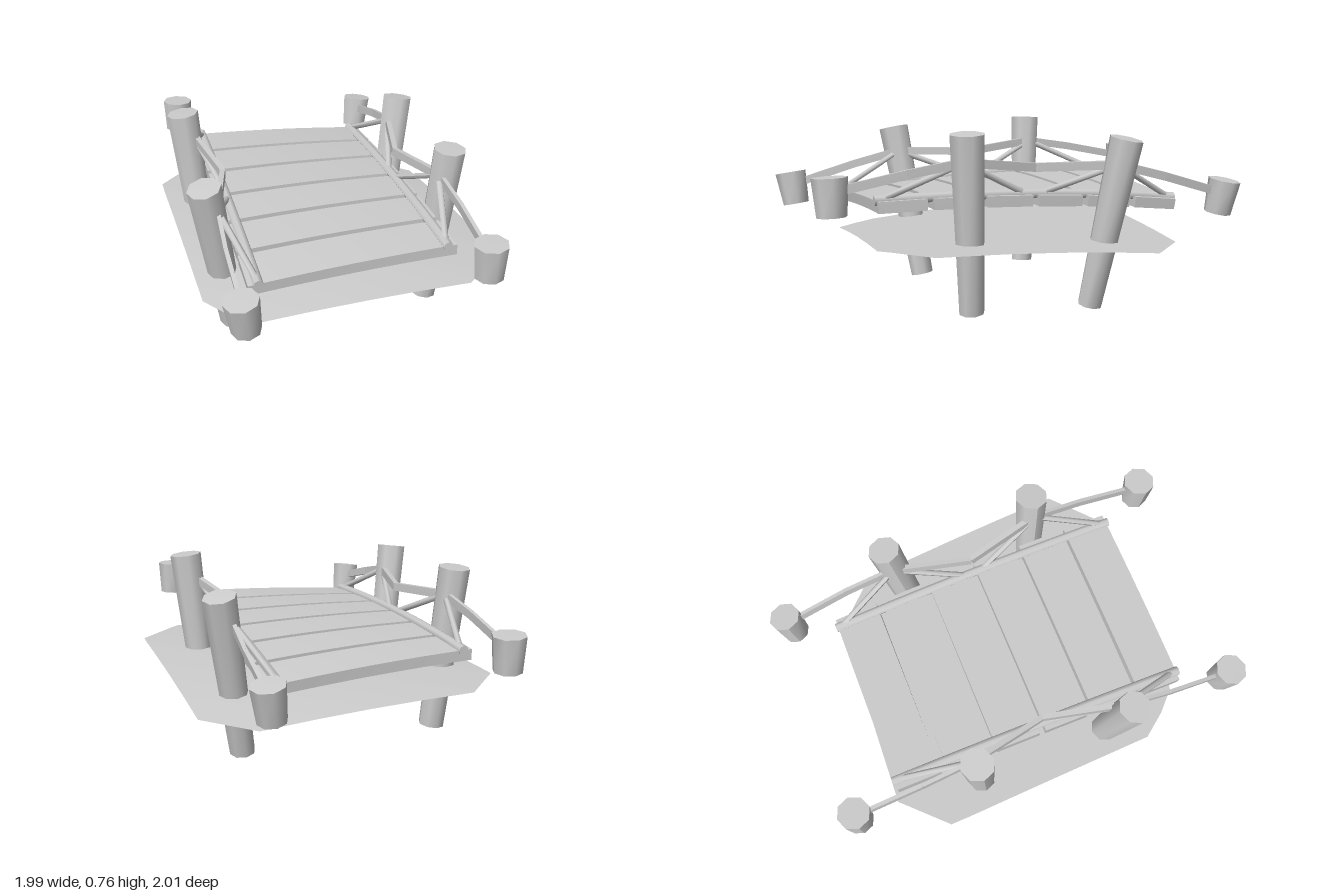
import * as THREE from 'three';

export function createModel() {
  const model = new THREE.Group();
  const grey = new THREE.MeshStandardMaterial({ color: 0xcccccc });
  const greySheet = grey.clone();
  greySheet.side = THREE.DoubleSide;
  grey.name = 'grey';
  greySheet.name = 'greySheet';

  // Gentle arch: everything is bent over a large circle along z
  const R = 5, Y0 = 0.5;
  function bend(geo) {
    const p = geo.attributes.position;
    for (let i = 0; i < p.count; i++) {
      const a = p.getZ(i) / R, r = R + p.getY(i) - Y0;
      p.setXYZ(i, p.getX(i), Y0 - R + r * Math.cos(a), r * Math.sin(a));
    }
    geo.computeVertexNormals();
    return geo;
  }

  // The bridge is laid out along x, then turned onto the diagonal and bent
  function add(name, geo, turned = true, material = grey) {
    if (turned) geo.rotateY(-Math.PI / 4);
    const mesh = new THREE.Mesh(bend(geo), material);
    mesh.name = name;
    model.add(mesh);
  }

  const V = (x, y, z) => new THREE.Vector3(x, y, z);

  // Round rod from a to b
  function rod(a, b, ra, rb, sides, segments = 1) {
    const d = b.clone().sub(a);
    const geo = new THREE.CylinderGeometry(rb, ra, d.length(), sides, segments);
    geo.applyQuaternion(new THREE.Quaternion().setFromUnitVectors(V(0, 1, 0), d.normalize()));
    const m = a.clone().add(b).multiplyScalar(0.5);
    return geo.translate(m.x, m.y, m.z);
  }

  // Flat strap from a to b, standing on edge
  function strap(a, b, thick, high) {
    const geo = new THREE.BoxGeometry(thick, high, a.distanceTo(b));
    const m = new THREE.Matrix4().lookAt(b, a, V(0, 1, 0));
    const c = a.clone().add(b).multiplyScalar(0.5);
    return geo.applyMatrix4(m.setPosition(c));
  }

  // Deck planks
  const count = 6, pitch = 0.222;
  for (let i = 0; i < count; i++) {
    const geo = new THREE.BoxGeometry(0.195, 0.045, 0.84, 1, 1, 8);
    geo.translate((i - (count - 1) / 2) * pitch, 0.463, 0);
    add('plank', geo);
  }

  for (const s of [-1, 1]) {
    // Rail lying along the plank ends
    add('rail', rod(V(-0.66, 0.487, s * 0.38), V(0.66, 0.487, s * 0.38), 0.02, 0.02, 8, 10));

    for (const e of [-1, 1]) {
      // Leaning post and outer anchor barrel
      add('post', rod(V(e * 0.28, 0.025, s * 0.45), V(e * 0.33, 0.74, s * 0.5), 0.056, 0.068, 8));
      add('anchorBarrel', rod(V(e * 0.84, 0.452, s * 0.47), V(e * 0.84, 0.598, s * 0.47), 0.058, 0.068, 8));

      // Rope straps from barrel to post and down to the middle
      const tie = V(e * 0.33, 0.625, s * 0.46);
      add('rope', strap(V(e * 0.84, 0.54, s * 0.47), V(e * 0.55, 0.59, s * 0.47), 0.016, 0.035));
      add('rope', strap(V(e * 0.55, 0.59, s * 0.47), tie, 0.016, 0.035));
      add('rope', strap(tie, V(0, 0.595, s * 0.385), 0.022, 0.035));

      // Braces from post to rail
      for (const foot of [0.63, 0.04]) {
        add('brace', rod(V(e * foot, 0.49, s * 0.38), tie, 0.013, 0.013, 6));
      }
    }
  }

  // Thin sheet below the deck: rows of [z, left x, right x]
  const outline = [[-0.8, -0.13, 0.14], [-0.18, -0.78, 0.79], [-0.13, -0.78, 0.84],
    [0.08, -0.78, 0.825], [0.14, -0.72, 0.82], [0.75, -0.08, 0.2], [0.77, 0.05, 0.17]];
  const pos = [], index = [];
  for (let i = 0; i < outline.length - 1; i++) {
    const a = outline[i], b = outline[i + 1];
    const n = Math.max(1, Math.round((b[0] - a[0]) / 0.15));
    for (let k = i ? 1 : 0; k <= n; k++) {
      const [z, l, r] = a.map((v, j) => v + (b[j] - v) * k / n);
      pos.push(l, 0.31, z, r, 0.31, z);
    }
  }
  for (let i = 0; i < pos.length / 3 - 2; i += 2) index.push(i, i + 2, i + 1, i + 1, i + 2, i + 3);
  const sheet = new THREE.BufferGeometry();
  sheet.setAttribute('position', new THREE.Float32BufferAttribute(pos, 3));
  sheet.setIndex(index);
  add('lowerSheet', sheet, false, greySheet);

  return model;
}
